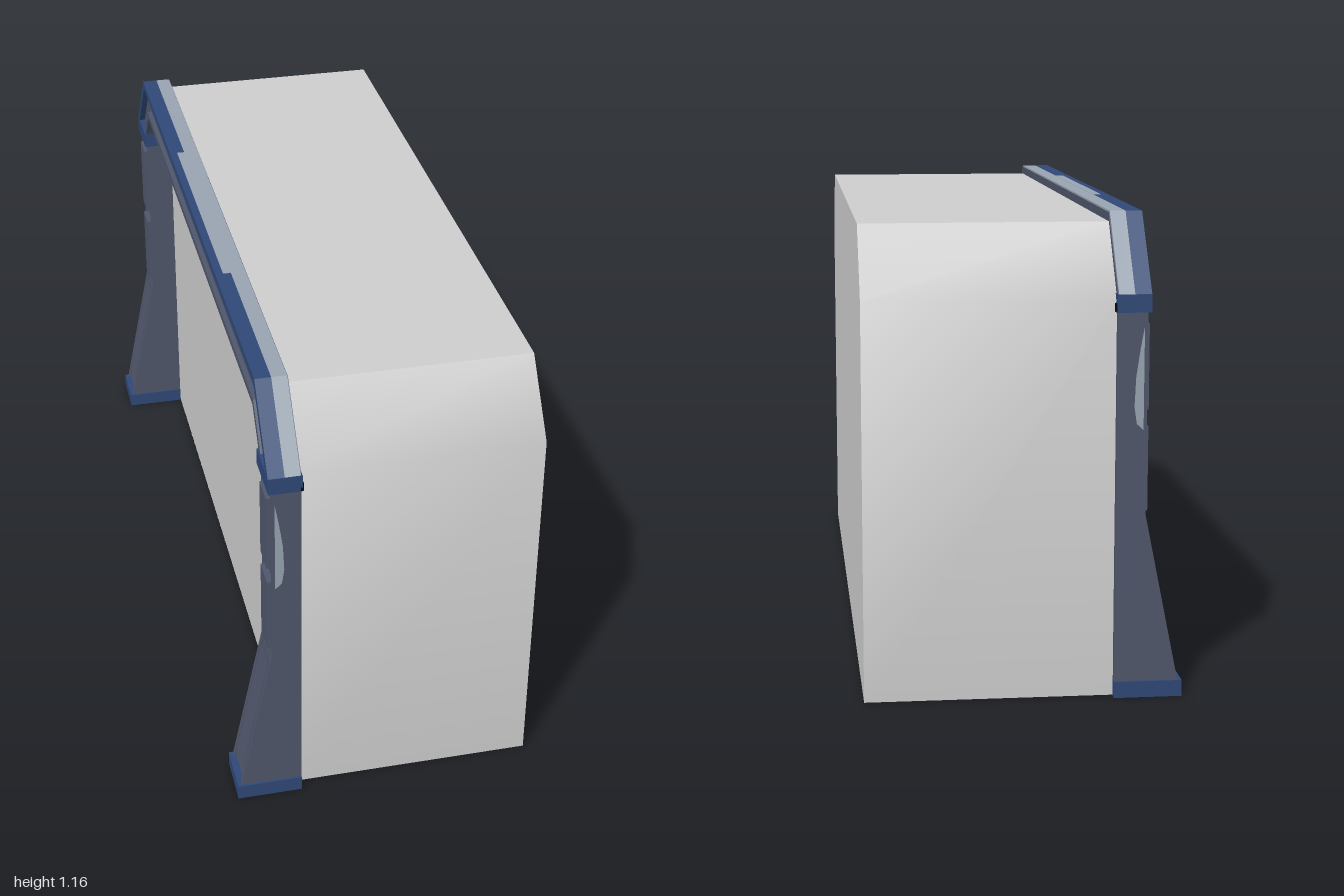
import * as THREE from 'three';
import { toCreasedNormals } from 'three/addons/utils/BufferGeometryUtils.js';

const mat = (name, color) => {
  const m = new THREE.MeshStandardMaterial({ color });
  m.name = name;
  return m;
};

export function createModel() {
  const grey = mat('pale grey', 0xcccccc);
  const navy = mat('navy blue', 0x2f4876);
  const slate = mat('slate', 0x4f566a);
  const steel = mat('light steel', 0x97a3b0);
  const black = mat('black', 0x050505);
  const model = new THREE.Group();
  model.name = 'gateway';

  const add = (parent, name, geometry, material) => {
    const mesh = new THREE.Mesh(geometry, material);
    mesh.name = name;
    parent.add(mesh);
    return mesh;
  };
  // Box given by its limits on each axis
  const box = (parent, name, x0, x1, y0, y1, z0, z1, material) => {
    const g = new THREE.BoxGeometry(x1 - x0, y1 - y0, z1 - z0);
    g.translate((x0 + x1) / 2, (y0 + y1) / 2, (z0 + z1) / 2);
    return add(parent, name, g, material);
  };
  const outline = pts => new THREE.Shape(pts.map(p => new THREE.Vector2(...p)));
  // Extrude a [z, y] outline along x
  const alongX = (pts, x0, x1) => {
    const g = new THREE.ExtrudeGeometry(outline(pts), { depth: x1 - x0, bevelEnabled: false });
    return g.rotateY(-Math.PI / 2).translate(x1, 0, 0);
  };
  // Extrude an [x, y] outline along z
  const alongZ = (pts, z0, z1) =>
    new THREE.ExtrudeGeometry(outline(pts), { depth: z1 - z0, bevelEnabled: false }).translate(0, 0, z0);

  // Chamfered hall behind the gate, softly shaded round its shoulders
  const hall = alongX([[-0.98, 0.002], [0.97, 0.002], [0.97, 0.965], [0.84, 1.135],
    [-0.85, 1.135], [-0.98, 0.965]], -0.22, 0.38);
  add(model, 'hall', toCreasedNormals(hall, 0.8), grey);
  box(model, 'floorPlate', -0.22, 0.32, 0, 0.004, -0.8, 0.89, black);

  // Arch bands: the arch line moved inwards by d
  const archLine = d => [[1 - 1.287 * d, 0.975], [0.85 - 0.476 * d, 1.16 - d]];
  const archBand = (outer, inner) => {
    const [a, b] = archLine(outer);
    const [c, e] = archLine(inner);
    const flip = p => [-p[0], p[1]];
    return [a, b, flip(b), flip(a), flip(c), flip(e), e, c];
  };
  const arch = new THREE.Group();
  arch.name = 'arch';
  model.add(arch);
  add(arch, 'archBody', alongX(archBand(0.004, 0.1), -0.284, -0.22), slate);
  add(arch, 'archOuterRim', alongX(archBand(0, 0.02), -0.3, -0.26), navy);
  add(arch, 'archInnerRim', alongX(archBand(0.082, 0.1), -0.296, -0.284), slate);
  add(arch, 'archTopStrip', alongX(archBand(0, 0.004), -0.26, -0.222), steel);
  // Worn middle of the top edge
  add(arch, 'wornEdge', alongZ([[-0.28, 1.158], [-0.259, 1.158], [-0.259, 1.161], [-0.28, 1.161]],
    -0.35, 0.35), steel);

  // One leg at each end, mirrored in z
  for (const s of [1, -1]) {
    const leg = new THREE.Group();
    leg.name = s > 0 ? 'frontLeg' : 'backLeg';
    model.add(leg);
    const part = (name, x0, x1, y0, y1, z0, z1, m) =>
      box(leg, name, x0, x1, y0, y1, Math.min(s * z0, s * z1), Math.max(s * z0, s * z1), m);
    const slab = (name, pts, z0, z1, m) =>
      add(leg, name, alongZ(pts, Math.min(s * z0, s * z1), Math.max(s * z0, s * z1)), m);

    part('foot', -0.385, -0.22, 0, 0.04, 0.87, 1, navy);
    slab('post', [[-0.22, 0.04], [-0.22, 0.94], [-0.284, 0.94], [-0.284, 0.45], [-0.367, 0.04]],
      0.875, 0.994, slate);
    part('collar', -0.3, -0.218, 0.935, 0.978, 0.867, 1, navy);
    part('collarClip', -0.222, -0.215, 0.936, 0.956, 0.967, 1, black);

    // Raised borders down both edges of the outer face
    for (const z of [0.875, 0.982]) {
      slab('postBorder', [[-0.284, 0.94], [-0.292, 0.94], [-0.292, 0.45], [-0.375, 0.04],
        [-0.367, 0.04], [-0.284, 0.45]], z, z + 0.012, slate);
    }
    // Raised panels: two upright, one on the slope
    part('upperPanel', -0.3, -0.283, 0.7, 0.905, 0.897, 0.972, slate);
    part('middlePanel', -0.3, -0.283, 0.455, 0.66, 0.897, 0.972, slate);
    slab('lowerPanel', [[-0.35, 0.08], [-0.288, 0.4], [-0.3, 0.41], [-0.367, 0.08]],
      0.897, 0.972, slate);
    // Worn patch on the end face
    slab('wornPatch', [[-0.284, 0.655], [-0.268, 0.67], [-0.262, 0.71], [-0.265, 0.78],
      [-0.275, 0.85], [-0.284, 0.9]], 0.99, 0.996, steel);
  }
  return model;
}
